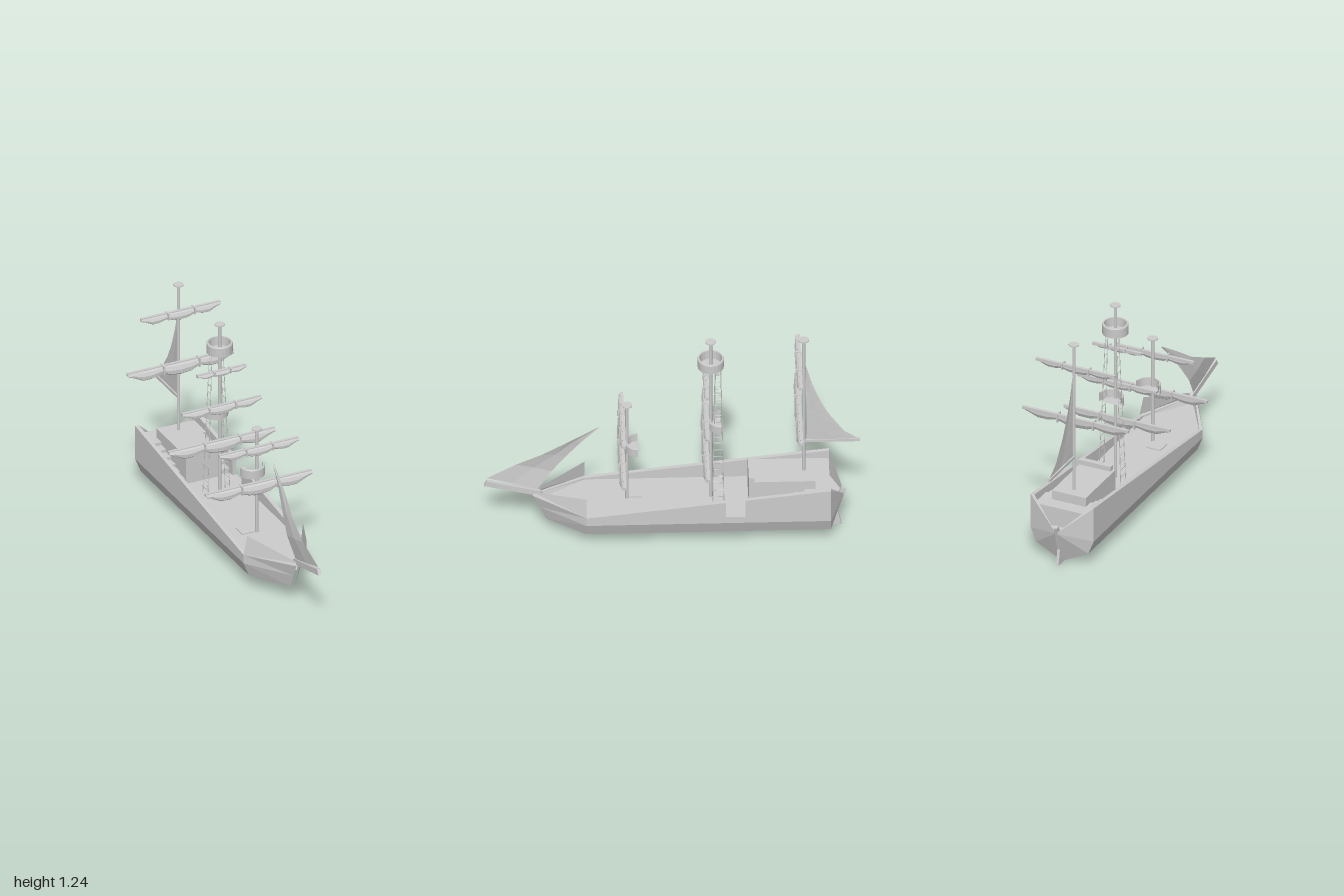
import * as THREE from 'three';

const solid = new THREE.MeshStandardMaterial({ color: 0xcccccc });
const thin = new THREE.MeshStandardMaterial({ color: 0xcccccc, side: THREE.DoubleSide });

function add(parent, name, geo, x = 0, y = 0, z = 0, mat = solid) {
  const m = new THREE.Mesh(geo, mat);
  m.name = name;
  m.position.set(x, y, z);
  parent.add(m);
  return m;
}
const box = (p, name, x0, x1, y0, y1, z0, z1) =>
  add(p, name, new THREE.BoxGeometry(x1 - x0, y1 - y0, z1 - z0), (x0 + x1) / 2, (y0 + y1) / 2, (z0 + z1) / 2);

// Flat-faced geometry from a list of triangle corners
function facets(points) {
  const g = new THREE.BufferGeometry();
  g.setAttribute('position', new THREE.Float32BufferAttribute(points.flat(), 3));
  g.computeVertexNormals();
  return g;
}
// Skin between successive cross-sections
function skin(rows, flip = false) {
  const out = [];
  for (let i = 0; i < rows.length - 1; i++)
    for (let j = 0; j < rows[i].length - 1; j++) {
      const a = rows[i][j], b = rows[i][j + 1], c = rows[i + 1][j + 1], d = rows[i + 1][j];
      out.push(...(flip ? [a, c, d, a, b, c] : [a, d, c, a, c, b]));
    }
  return out;
}
// Straight round bar between two points
function bar(parent, name, a, b, r, sides = 8) {
  const A = new THREE.Vector3(...a), B = new THREE.Vector3(...b), d = B.clone().sub(A);
  const m = add(parent, name, new THREE.CylinderGeometry(r, r, d.length(), sides));
  m.position.copy(A).lerp(B, 0.5);
  m.quaternion.setFromUnitVectors(new THREE.Vector3(0, 1, 0), d.normalize());
}

// Half a hull: bottom, side, bulwark and deck; side is +1 or -1
function hullHalf(parent, side) {
  const rail = z => 0.21 + (0.46 - z) * 0.15 / 1.3;
  const section = (z, t) => [[0, 0, z], [0.155, 0.08, z], [0.187, 0.16, z], [0.187, t, z], [0.165, t, z], [0.165, 0.2, z], [0, 0.2, z]];
  const stem = [[0, 0.08, 0.67], [0.012, 0.08, 0.67], [0.012, 0.16, 0.705], [0.012, 0.235, 0.74], [0, 0.235, 0.74], [0, 0.2, 0.72], [0, 0.2, 0.72]];
  const rows = [stem, section(0.46, rail(0.46))];
  // Boarding gap in one bulwark only
  if (side > 0) rows.push(section(-0.28, rail(-0.28)), section(-0.28, 0.2), section(-0.385, 0.2), section(-0.385, rail(-0.385)));
  rows.push(section(-0.84, rail(-0.84)));
  let tris = skin(rows);
  // Transom folded back to a central point
  const last = rows[rows.length - 1], apex = [0, 0.2, -0.915];
  for (let j = 0; j < 6; j++) tris.push(last[j], apex, last[j + 1]);
  if (side < 0) tris = tris.map(([x, y, z]) => [-x, y, z]).reverse();
  add(parent, side > 0 ? 'hullLeft' : 'hullRight', facets(tris));
  // Raised bow bulwark
  const bow = skin([[[side * 0.187, 0.21, 0.46], [side * 0.165, 0.32, 0.46]], [[side * 0.012, 0.235, 0.74], [0, 0.252, 0.745]]], side < 0);
  add(parent, 'bowBulwark', facets(bow), 0, 0, 0, thin);
}

// Yard with a furled, scalloped sail and two ties
function furledSail(parent, half, top, z) {
  const g = new THREE.Group();
  g.name = 'furledSail';
  const shape = [[-1, 0.3], [-0.9, 0.45], [-0.72, 0.85], [-0.55, 0.85], [-0.35, 0.6], [-0.2, 0.9], [0, 1], [0.2, 0.9], [0.35, 0.6], [0.55, 0.85], [0.72, 0.85], [0.9, 0.45], [1, 0.3]];
  const size = 0.2 * half + 0.002, wide = 0.01 + half * 0.025;
  const rows = shape.map(([t, d]) => {
    const ring = [], low = size * d;
    for (let k = 0; k <= 8; k++) {
      const a = k / 8 * Math.PI * 2, y = (Math.cos(a) - 1) * low / 2;
      ring.push([t * half * 0.99, y - 0.003, Math.sin(a) * wide * (0.5 + d / 2) - y * 0.2]);
    }
    return ring;
  });
  add(g, 'sailRoll', facets(skin(rows)), 0, 0, 0, thin);
  box(g, 'yard', -half, half, -0.016, 0, -0.012, 0.004);
  for (const s of [-1, 1]) box(g, 'tie', s * half / 3 - 0.004, s * half / 3 + 0.004, -size * 0.72, 0.003, -wide, wide + 0.006);
  g.position.set(0, top, z);
  parent.add(g);
}

// Mast with cap and its yards, given as [half width, top height]
function mast(parent, name, z, base, top, yards) {
  const g = new THREE.Group();
  g.name = name;
  bar(g, 'pole', [0, base, z], [0, top, z], 0.009, 10);
  add(g, 'cap', new THREE.CylinderGeometry(0.028, 0.028, 0.006, 16), 0, top - 0.003, z);
  for (const [half, y] of yards) furledSail(g, half, y, z + 0.024);
  parent.add(g);
}

// Walled lookout; half ones are open toward the stern
function lookout(parent, name, y, h, z, start, sweep) {
  const profile = [[0, 0], [0.07, 0], [0.071, h - 0.006], [0.068, h], [0.06, h], [0.058, 0.008], [0, 0.008]];
  const geo = new THREE.LatheGeometry(profile.map(p => new THREE.Vector2(...p)), 24, start, sweep).toNonIndexed();
  geo.computeVertexNormals();
  add(parent, name, geo, 0, y, z, thin);
}

export function createModel() {
  const ship = new THREE.Group();
  ship.name = 'sailingShip';

  for (const s of [1, -1]) hullHalf(ship, s);

  // Rudder blade
  const blade = new THREE.Shape([[-0.83, 0], [-0.9, 0], [-0.882, 0.09], [-0.925, 0.235], [-0.9, 0.24], [-0.83, 0.1]].map(p => new THREE.Vector2(-p[0], p[1])));
  const rudder = add(ship, 'rudder', new THREE.ExtrudeGeometry(blade, { depth: 0.016, bevelEnabled: false }), -0.008);
  rudder.rotation.y = Math.PI / 2;

  // Raised stern deck with front parapet and side stairs
  box(ship, 'sternDeck', -0.1, 0.1, 0.19, 0.363, -0.76, -0.405);
  box(ship, 'sternParapet', -0.085, 0.1, 0.36, 0.39, -0.435, -0.405);
  box(ship, 'aftPlatform', -0.165, 0.165, 0.19, 0.31, -0.838, -0.75);
  for (const s of [-1, 1])
    for (let i = 0; i < 6; i++)
      box(ship, 'stair', s * 0.13 - 0.034, s * 0.13 + 0.034, 0.19, 0.225 + i * 0.017, -0.755, -0.42 - i * 0.056);

  box(ship, 'deckHatch', -0.085, 0, 0.195, 0.206, 0.16, 0.24);

  // Masts and furled sails
  mast(ship, 'foreMast', 0.24, 0.19, 0.825, [[0.235, 0.728], [0.315, 0.512]]);
  mast(ship, 'mainMast', -0.205, 0.19, 1.24, [[0.145, 0.973], [0.235, 0.763], [0.315, 0.553]]);
  mast(ship, 'mizzenMast', -0.7, 0.35, 1.24, [[0.235, 1.096], [0.315, 0.785]]);

  lookout(ship, 'crowsNest', 1.072, 0.058, -0.206, 0, Math.PI * 2);
  lookout(ship, 'mainLookout', 0.668, 0.053, -0.26, -Math.PI / 2, Math.PI);
  lookout(ship, 'foreLookout', 0.525, 0.055, 0.182, -Math.PI / 2, Math.PI);

  // Rope ladders from the deck to the crow's nest
  for (const s of [-1, 1]) {
    const at = (t, e) => [s * (0.066 - 0.034 * t), 0.2 + 0.88 * t, -0.245 + e * (0.03 - 0.016 * t)];
    for (const e of [-1, 1]) bar(ship, 'ladderRope', at(0, e), at(1, e), 0.002, 5);
    for (let i = 1; i < 20; i++) bar(ship, 'ladderRung', at(i / 20, -1), at(i / 20, 1), 0.002, 5);
  }

  // Bowsprit
  const sprit = [[0.68, 0.225], [0.74, 0.24], [1, 0.305], [0.985, 0.335], [0.7, 0.262]];
  const spritShape = new THREE.Shape(sprit.map(([z, y]) => new THREE.Vector2(-z, y)));
  const bowsprit = add(ship, 'bowsprit', new THREE.ExtrudeGeometry(spritShape, { depth: 0.02, bevelEnabled: false }), -0.01);
  bowsprit.rotation.y = Math.PI / 2;

  // Triangular bow sail, rows running from head to foot
  const jib = [
    [[0.022, 0.695, 0.39], [0.022, 0.692, 0.388]],
    [[0.01, 0.585, 0.56], [0.008, 0.59, 0.48]],
    [[-0.008, 0.495, 0.69], [-0.008, 0.48, 0.565]],
    [[-0.016, 0.425, 0.83], [-0.018, 0.375, 0.64]],
    [[-0.004, 0.348, 0.985], [-0.004, 0.266, 0.715]],
  ].map(([a, b]) => [a, a.map((v, i) => (v + b[i]) / 2 - (i ? 0 : 0.004)), b]);
  add(ship, 'bowSail', facets(skin(jib)), 0, 0, 0, thin);

  // Stern sail and its boom
  const spanker = [[-0.705, -0.71, 1.07], [-0.712, -0.745, 0.94], [-0.716, -0.79, 0.82], [-0.718, -0.835, 0.735], [-0.718, -0.915, 0.62], [-0.712, -0.995, 0.565]]
    .map(([z0, z1, y], i) => [[0, i === 5 ? 0.565 : y, z0], [0.003, y, (z0 + z1) / 2], [0, y, z1]]);
  add(ship, 'sternSail', facets(skin(spanker)), 0, 0, 0, thin);
  box(ship, 'sternBoom', -0.007, 0.007, 0.553, 0.569, -1, -0.7);

  return ship;
}
